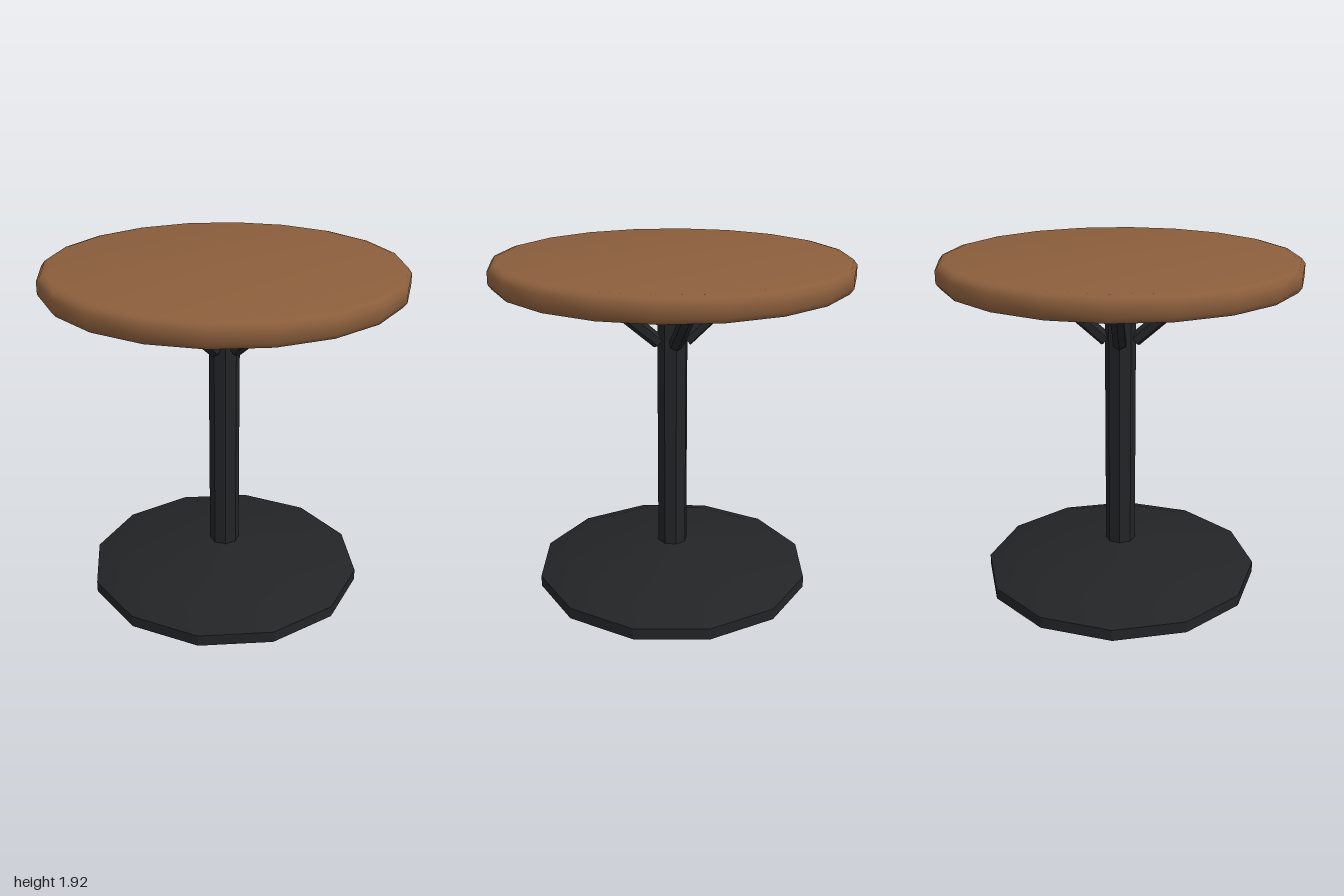
import * as THREE from 'three';
import { toCreasedNormals } from 'three/addons/utils/BufferGeometryUtils.js';

const wood = new THREE.MeshStandardMaterial({ color: 0x8b5e3c });
const metal = new THREE.MeshStandardMaterial({ color: 0x222426 });

// Turned solid from a [radius, height] profile, bottom to top
function turned(name, profile, sides, crease, material) {
  const points = profile.map(([r, y]) => new THREE.Vector2(r, y));
  const geometry = toCreasedNormals(new THREE.LatheGeometry(points, sides), crease);
  const mesh = new THREE.Mesh(geometry, material);
  mesh.name = name;
  return mesh;
}

// Hexagonal bar between two points, with one corner of its section facing down
function brace(radius, from, to) {
  const geometry = toCreasedNormals(new THREE.CylinderGeometry(radius, radius, from.distanceTo(to), 6), 0.4);
  const mesh = new THREE.Mesh(geometry, metal);
  mesh.position.addVectors(from, to).multiplyScalar(0.5);
  mesh.rotation.x = Math.atan2(to.z - from.z, to.y - from.y);
  mesh.name = 'brace';
  return mesh;
}

export function createModel() {
  const table = new THREE.Group();
  table.name = 'pedestalTable';

  // Round top with softened rim
  table.add(turned('tabletop', [
    [0, 1.785], [0.95, 1.785], [0.98, 1.793], [1, 1.82],
    [1, 1.888], [0.98, 1.915], [0.95, 1.923], [0, 1.923],
  ], 20, 0.8, wood));

  // Sloped twelve-sided foot
  table.add(turned('base', [
    [0, 0], [0.8, 0], [0.8, 0.065], [0.64, 0.125], [0.08, 0.215], [0, 0.215],
  ], 12, 0.42, metal));

  // Octagonal post
  table.add(turned('post', [[0, 0.15], [0.087, 0.15], [0.087, 1.8], [0, 1.8]], 8, 0.42, metal));

  // Four diagonal braces under the top
  const low = new THREE.Vector3(0, 1.447, 0.08);
  const high = new THREE.Vector3(0, 1.79, 0.476);
  for (let i = 0; i < 4; i++) {
    const arm = new THREE.Group();
    arm.name = 'braceArm';
    arm.add(brace(0.04, low, high));
    arm.rotation.y = i * Math.PI / 2;
    table.add(arm);
  }
  return table;
}
